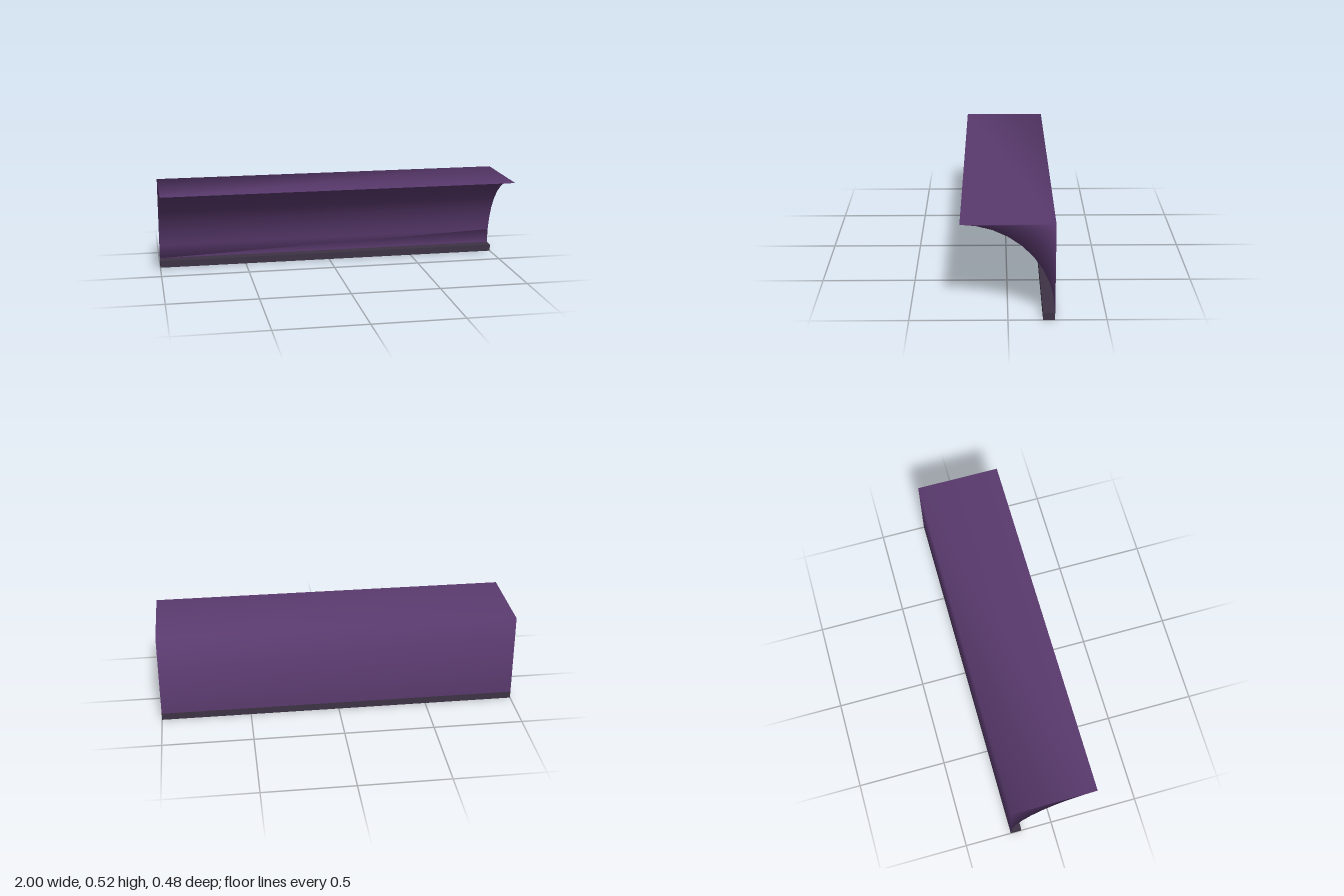
import * as THREE from 'three';
import { mergeVertices } from 'three/addons/utils/BufferGeometryUtils.js';

const LENGTH = 2;
const BACK = -0.238;   // z of the flat back
const RADIUS = 0.476;  // radius of the concave face
const BASE = 0.04;     // height of the bottom rail
const SEGMENTS = 9;

export function createModel() {
  const purple = new THREE.MeshStandardMaterial({ color: 0x5a3a6e });
  purple.name = 'purple';
  const darkGrey = new THREE.MeshStandardMaterial({ color: 0x3d3345 });
  darkGrey.name = 'darkGrey';

  const group = new THREE.Group();
  group.name = 'coving';

  // Cove: quarter-round hollow between a flat back and a flat top
  const profile = [new THREE.Vector2(BACK, BASE + RADIUS)];
  for (let i = 0; i <= SEGMENTS; i++) {
    const a = (i / SEGMENTS) * Math.PI / 2;
    profile.push(new THREE.Vector2(BACK + RADIUS * (1 - Math.cos(a)), BASE + RADIUS * Math.sin(a)));
  }
  let geometry = new THREE.ExtrudeGeometry(new THREE.Shape(profile), { depth: LENGTH, bevelEnabled: false });
  geometry.rotateY(-Math.PI / 2).translate(LENGTH / 2, 0, 0);

  // Shared corners give the soft shading across all edges
  geometry.deleteAttribute('normal');
  geometry.deleteAttribute('uv');
  geometry = mergeVertices(geometry, 1e-4);
  geometry.computeVertexNormals();
  const cove = new THREE.Mesh(geometry, purple);
  cove.name = 'cove';
  group.add(cove);

  // Rail along the bottom of the back
  const railDepth = 0.061;
  const rail = new THREE.Mesh(new THREE.BoxGeometry(LENGTH, BASE, railDepth), darkGrey);
  rail.name = 'bottomRail';
  rail.position.set(0, BASE / 2, BACK + railDepth / 2);
  group.add(rail);

  return group;
}
